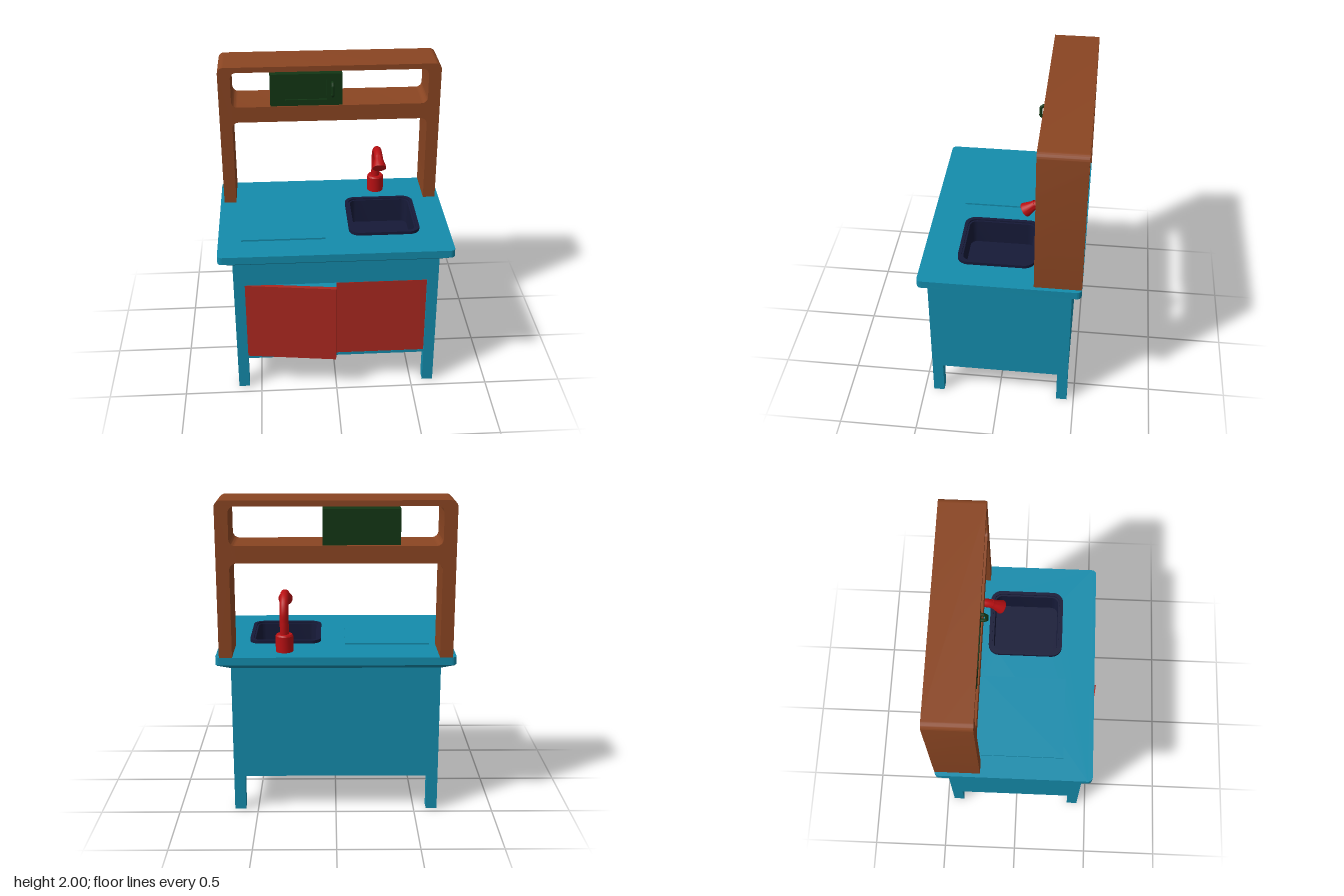
import * as THREE from 'three';
import { toCreasedNormals } from 'three/addons/utils/BufferGeometryUtils.js';

const paint = (color) => new THREE.MeshStandardMaterial({ color });
const teal = paint(0x148cac), brown = paint(0x8a4522), doorRed = paint(0xab2820);
const tapRed = paint(0xb80f12), green = paint(0x123614), navy = paint(0x161a38);

function add(parent, name, geometry, material) {
  const mesh = new THREE.Mesh(geometry, material);
  mesh.name = name;
  parent.add(mesh);
  return mesh;
}

// Box given by its minimum and maximum corners
function block(parent, name, material, [x0, y0, z0], [x1, y1, z1]) {
  const mesh = add(parent, name, new THREE.BoxGeometry(x1 - x0, y1 - y0, z1 - z0), material);
  mesh.position.set((x0 + x1) / 2, (y0 + y1) / 2, (z0 + z1) / 2);
  return mesh;
}

// Rounded rectangle outline; rb is the radius of the bottom corners
function roundRect(target, x0, y0, x1, y1, r, rb = r) {
  target.moveTo(x0 + rb, y0);
  target.lineTo(x1 - rb, y0);
  if (rb) target.absarc(x1 - rb, y0 + rb, rb, -Math.PI / 2, 0);
  target.lineTo(x1, y1 - r);
  if (r) target.absarc(x1 - r, y1 - r, r, 0, Math.PI / 2);
  target.lineTo(x0 + r, y1);
  if (r) target.absarc(x0 + r, y1 - r, r, Math.PI / 2, Math.PI);
  target.lineTo(x0, y0 + rb);
  if (rb) target.absarc(x0 + rb, y0 + rb, rb, Math.PI, Math.PI * 1.5);
  return target;
}

function extrude(shape, depth) {
  const g = new THREE.ExtrudeGeometry(shape, { depth, bevelEnabled: false, curveSegments: 8 });
  return toCreasedNormals(g, 0.6);
}

// Horizontal plate, outline in x and -z, rising from y0 to y1
function plate(parent, name, material, shape, y0, y1) {
  const mesh = add(parent, name, extrude(shape, y1 - y0).rotateX(-Math.PI / 2), material);
  mesh.position.y = y0;
  return mesh;
}

function createCabinet() {
  const g = new THREE.Group();
  g.name = 'cabinet';
  for (const s of [-1, 1]) {
    const x = s * 0.615;
    block(g, 'sidePanel', teal, [x - 0.035, 0.23, -0.455], [x + 0.035, 0.98, 0.415]);
    for (const [z0, z1] of [[-0.455, -0.385], [0.37, 0.44]])
      block(g, 'leg', teal, [x - 0.035, 0, z0], [x + 0.035, 0.23, z1]);
  }
  block(g, 'backPanel', teal, [-0.58, 0.23, -0.455], [0.58, 0.98, -0.43]);
  block(g, 'floorPanel', teal, [-0.58, 0.23, -0.43], [0.58, 0.25, 0.415]);
  const front = roundRect(new THREE.Shape(), -0.65, 0.23, 0.65, 0.98, 0);
  front.holes.push(roundRect(new THREE.Path(), -0.58, 0.25, 0.58, 0.8, 0));
  add(g, 'frontFrame', extrude(front, 0.025), teal).position.z = 0.415;

  // One door shut, the other slightly ajar on its outer hinge
  block(g, 'leftDoor', doorRed, [0, 0.252, 0.417], [0.577, 0.8, 0.442]);
  const hinge = new THREE.Group();
  hinge.name = 'rightDoorHinge';
  hinge.position.set(-0.58, 0, 0.442);
  hinge.rotation.y = -0.13;
  block(hinge, 'rightDoor', doorRed, [0, 0.252, -0.025], [0.578, 0.8, 0]);
  g.add(hinge);
  return g;
}

function createCounter() {
  const g = new THREE.Group();
  g.name = 'counter';
  const top = roundRect(new THREE.Shape(), -0.74, -0.49, 0.74, 0.515, 0.03);
  top.holes.push(roundRect(new THREE.Path(), 0.115, -0.25, 0.53, 0.195, 0.05));
  plate(g, 'countertop', teal, top, 0.99, 1.04);

  // Sloped underside: open four-sided ring narrowing to the cabinet
  const slope = new THREE.CylinderGeometry(Math.SQRT2, Math.SQRT2, 1, 4, 1, true).toNonIndexed();
  slope.rotateY(Math.PI / 4);
  const p = slope.attributes.position;
  for (let i = 0; i < p.count; i++) {
    const up = p.getY(i) > 0;
    p.setXYZ(i, p.getX(i) * (up ? 0.735 : 0.65), up ? 0.99 : 0.955,
      p.getZ(i) * (up ? 0.5 : 0.4475) + (up ? -0.0125 : -0.0075));
  }
  slope.computeVertexNormals();
  add(g, 'counterUnderside', slope, teal);

  plate(g, 'hob', teal, roundRect(new THREE.Shape(), -0.595, -0.3, -0.06, 0.24, 0), 1.04, 1.051);
  return g;
}

function createSink() {
  const g = new THREE.Group();
  g.name = 'sink';
  const outline = (Type, i, r) => roundRect(new Type(), 0.095 + i, -0.27 + i, 0.55 - i, 0.215 - i, r);
  const rim = outline(THREE.Shape, 0, 0.07);
  rim.holes.push(outline(THREE.Path, 0.022, 0.055));
  plate(g, 'sinkRim', navy, rim, 1.04, 1.06);
  const wall = outline(THREE.Shape, 0.021, 0.056);
  wall.holes.push(outline(THREE.Path, 0.033, 0.045));
  plate(g, 'sinkWall', navy, wall, 0.88, 1.05);
  plate(g, 'sinkFloor', navy, outline(THREE.Shape, 0.021, 0.056), 0.87, 0.885);
  return g;
}

function createFaucet() {
  const g = new THREE.Group();
  g.name = 'faucet';
  g.position.set(0.32, 1.04, -0.37);
  const base = [[0, 0], [0.055, 0], [0.055, 0.1], [0.048, 0.11], [0, 0.11]];
  add(g, 'faucetBase', toCreasedNormals(
    new THREE.LatheGeometry(base.map(([x, y]) => new THREE.Vector2(x, y)), 24), 0.6), tapRed);
  const path = new THREE.CatmullRomCurve3([
    [0.1, 0], [0.18, 0], [0.245, 0.003], [0.3, 0.03], [0.331, 0.085], [0.331, 0.14], [0.315, 0.185], [0.3, 0.207],
  ].map(([y, z]) => new THREE.Vector3(0, y, z)));
  add(g, 'faucetNeck', new THREE.TubeGeometry(path, 40, 0.028, 16), tapRed);
  // Flared spray head pointing forward and down
  const head = [[0, 0], [0.028, 0], [0.03, 0.025], [0.045, 0.075], [0.045, 0.085], [0, 0.085]];
  const spray = add(g, 'faucetHead', toCreasedNormals(
    new THREE.LatheGeometry(head.map(([x, y]) => new THREE.Vector2(x, y)), 24), 0.6), tapRed);
  spray.position.set(0, 0.327, 0.172);
  spray.rotation.x = Math.PI / 2 + 0.66;
  return g;
}

function createShelfUnit() {
  const g = new THREE.Group();
  g.name = 'shelfUnit';
  // Arch outline with a rounded lower opening and a shelf window
  const arch = new THREE.Shape();
  arch.moveTo(0.635, 1.04);
  arch.lineTo(0.715, 1.04);
  arch.lineTo(0.715, 1.96);
  arch.absarc(0.675, 1.96, 0.04, 0, Math.PI / 2);
  arch.absarc(-0.675, 1.96, 0.04, Math.PI / 2, Math.PI);
  arch.lineTo(-0.715, 1.04);
  arch.lineTo(-0.635, 1.04);
  arch.absarc(-0.595, 1.585, 0.04, Math.PI, Math.PI / 2, true);
  arch.absarc(0.595, 1.585, 0.04, Math.PI / 2, 0, true);
  arch.holes.push(roundRect(new THREE.Path(), -0.635, 1.73, 0.635, 1.965, 0.04));
  add(g, 'shelfFrame', extrude(arch, 0.29), brown).position.z = -0.515;
  return g;
}

function createMicrowave() {
  const g = new THREE.Group();
  g.name = 'microwave';
  block(g, 'microwaveBody', green, [-0.385, 1.728, -0.49], [0.08, 1.945, -0.245]);
  // Front panel with a recessed window
  const front = roundRect(new THREE.Shape(), -0.385, 1.728, 0.08, 1.945, 0);
  front.holes.push(roundRect(new THREE.Path(), -0.29, 1.77, -0.02, 1.905, 0));
  add(g, 'microwaveFront', extrude(front, 0.012), green).position.z = -0.245;
  const bar = new THREE.CurvePath();
  const pts = [[1.8, -0.235], [1.8, -0.212], [1.815, -0.194], [1.87, -0.194], [1.885, -0.212], [1.885, -0.235]]
    .map(([y, z]) => new THREE.Vector3(0.017, y, z));
  for (let i = 1; i < pts.length; i++) bar.add(new THREE.LineCurve3(pts[i - 1], pts[i]));
  add(g, 'microwaveHandle', new THREE.TubeGeometry(bar, 40, 0.01, 10), green);
  return g;
}

export function createModel() {
  const model = new THREE.Group();
  model.name = 'playKitchen';
  model.add(createCabinet(), createCounter(), createSink(), createFaucet(), createShelfUnit(), createMicrowave());
  return model;
}
